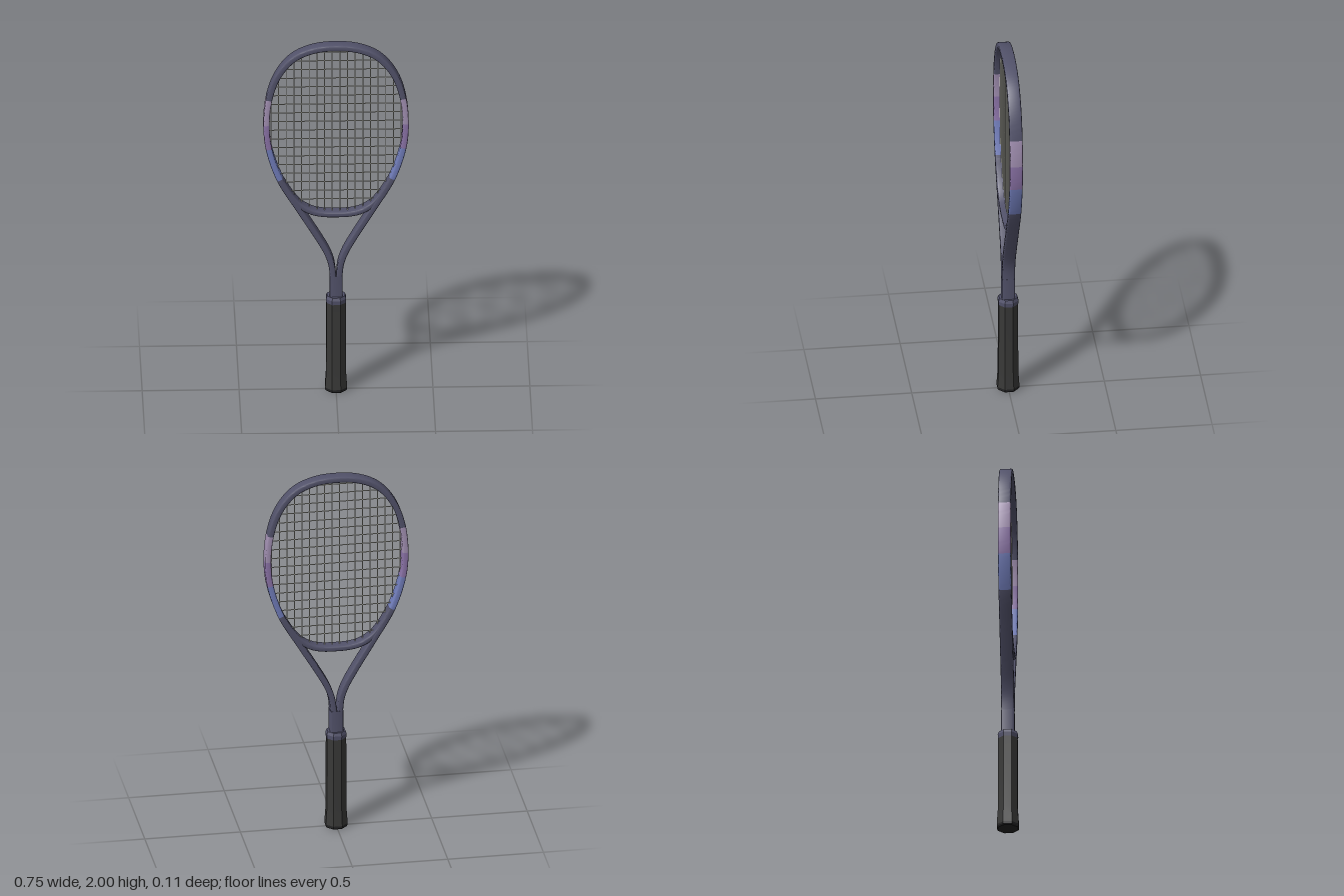
import * as THREE from 'three';
import { toCreasedNormals } from 'three/addons/utils/BufferGeometryUtils.js';

const material = (name, color) => {
  const m = new THREE.MeshStandardMaterial({ color });
  m.name = name;
  return m;
};

// Rounded rectangle used as the tube cross-section, counter-clockwise
function section(w, d, r) {
  const points = [];
  [[1, 1], [-1, 1], [-1, -1], [1, -1]].forEach(([sx, sz], corner) => {
    for (let k = 0; k <= 3; k++) {
      const a = (corner + k / 3) * Math.PI / 2;
      points.push([sx * (w - r) + r * Math.cos(a), sz * (d - r) + r * Math.sin(a)]);
    }
  });
  return points;
}

// Sweep the cross-section along part of a curve lying in the xy plane
function sweep(curve, u0, u1, steps, profile) {
  const pos = [], index = [], n = profile.length;
  for (let i = 0; i <= steps; i++) {
    const u = u0 + (u1 - u0) * i / steps;
    const p = curve.getPointAt(u), t = curve.getTangentAt(u);
    for (const [a, z] of profile) pos.push(p.x + t.y * a, p.y - t.x * a, z);
  }
  for (let i = 0; i < steps; i++) {
    for (let j = 0; j < n; j++) {
      const a = i * n + j, b = i * n + (j + 1) % n;
      index.push(a, a + n, b, b, a + n, b + n);
    }
  }
  const g = new THREE.BufferGeometry();
  g.setAttribute('position', new THREE.Float32BufferAttribute(pos, 3));
  g.setIndex(index);
  return toCreasedNormals(g, 0.7);
}

// Smooth curve mirrored about x = 0; the list runs from the centre outwards
function mirroredCurve(half) {
  const right = half.map(([x, y]) => new THREE.Vector3(x, y, 0));
  const left = half.slice(1).reverse().map(([x, y]) => new THREE.Vector3(-x, y, 0));
  const curve = new THREE.CatmullRomCurve3([...left, ...right], false, 'centripetal');
  curve.arcLengthDivisions = 600;
  return curve;
}

// Position on the right half of the curve at a given height
function atHeight(curve, y) {
  let lo = 0.5, hi = 1;
  for (let i = 0; i < 30; i++) {
    const mid = (lo + hi) / 2;
    if (curve.getPointAt(mid).y > y) lo = mid; else hi = mid;
  }
  return lo;
}

export function createModel() {
  const racket = new THREE.Group();
  racket.name = 'racket';
  const frameMat = material('slate frame', 0x52526a);
  const paleMat = material('pale mauve', 0xa18fb1);
  const purpleMat = material('purple', 0x8a72a6);
  const blueMat = material('blue', 0x6f7bb8);
  const gripMat = material('charcoal grip', 0x383837);
  const capMat = material('black cap', 0x222223);
  const stringMat = material('off-white string', 0xdcdcd0);

  const add = (name, geometry, mat, parent = racket) => {
    const mesh = new THREE.Mesh(geometry, mat);
    mesh.name = name;
    parent.add(mesh);
    return mesh;
  };

  // Head rim and throat arms, split into colour bands by height
  const rim = mirroredCurve([
    [0, 1.984], [0.1, 1.975], [0.19, 1.942], [0.25, 1.894], [0.307, 1.809], [0.345, 1.69],
    [0.359, 1.54], [0.346, 1.4], [0.29, 1.225], [0.19, 1.05], [0.095, 0.89],
    [0.047, 0.8], [0.025, 0.735], [0.017, 0.665], [0.017, 0.6],
  ]);
  const tube = section(0.016, 0.0335, 0.008);
  const [uPale, uPurple, uBlue, uArm] = [1.687, 1.542, 1.403, 1.225].map(y => atHeight(rim, y));
  add('headTop', sweep(rim, 1 - uPale, uPale, 64, tube), frameMat);
  const bands = [
    ['paleBand', uPale, uPurple, 10, paleMat],
    ['purpleBand', uPurple, uBlue, 10, purpleMat],
    ['blueBand', uBlue, uArm, 12, blueMat],
    ['throatArm', uArm, 1, 40, frameMat],
  ];
  for (const [name, a, b, steps, mat] of bands) {
    add(name + 'Left', sweep(rim, a, b, steps, tube), mat);
    add(name + 'Right', sweep(rim, 1 - b, 1 - a, steps, tube), mat);
  }

  // Bridge closing the bottom of the head, ending inside the arms
  const bridge = mirroredCurve([
    [0, 1.02], [0.07, 1.023], [0.13, 1.038], [0.19, 1.077], [0.24, 1.14], [0.28, 1.21],
  ]);
  add('bridge', sweep(bridge, 0, 1, 48, section(0.0145, 0.0325, 0.008)), frameMat);

  // Shaft
  const shape = new THREE.Shape(section(0.034, 0.034, 0.008).map(p => new THREE.Vector2(...p)));
  const shaft = new THREE.ExtrudeGeometry(shape, { depth: 0.155, bevelEnabled: false });
  shaft.rotateX(-Math.PI / 2);
  add('shaft', toCreasedNormals(shaft, 0.7), frameMat).position.y = 0.51;

  // Octagonal handle parts; radii are measured to the flats
  const octagon = profile => toCreasedNormals(new THREE.LatheGeometry(
    profile.map(([r, y]) => new THREE.Vector2(r / Math.cos(Math.PI / 8), y)),
    8, Math.PI / 8), 0.1);
  add('buttCap', octagon([[0, 0], [0.052, 0], [0.0565, 0.008], [0.0565, 0.018]]), capMat);
  add('grip', octagon([[0.0565, 0.018], [0.0555, 0.04], [0.051, 0.11], [0.05, 0.51], [0, 0.51]]), gripMat);
  add('collar', octagon([[0.0505, 0.508], [0.052, 0.53], [0.046, 0.546], [0, 0.546]]), frameMat);

  // Closed outline of the head, used to trim the strings
  const outline = [];
  const uJoin = atHeight(rim, 1.21);
  for (let i = 0; i <= 200; i++) outline.push(rim.getPointAt(1 - uJoin + (2 * uJoin - 1) * i / 200));
  for (let i = 0; i <= 100; i++) outline.push(bridge.getPointAt(1 - i / 100));
  const span = (axis, other, value) => {
    const hits = [];
    outline.forEach((p, i) => {
      const q = outline[(i + 1) % outline.length];
      if ((p[axis] > value) !== (q[axis] > value)) {
        hits.push(p[other] + (q[other] - p[other]) * (value - p[axis]) / (q[axis] - p[axis]));
      }
    });
    return [Math.min(...hits), Math.max(...hits)];
  };

  // String bed
  const strings = new THREE.Group();
  strings.name = 'strings';
  racket.add(strings);
  const radius = 0.0026;
  for (let i = 0; i < 18; i++) {
    const x = (i - 8.5) * 0.0395;
    const [lo, hi] = span('x', 'y', x);
    add('mainString', new THREE.CylinderGeometry(radius, radius, hi - lo, 6), stringMat, strings)
      .position.set(x, (lo + hi) / 2, 0.002);
  }
  for (let i = 0; i < 18; i++) {
    const y = 1.1 + i * 0.05;
    const [lo, hi] = span('y', 'x', y);
    const cross = add('crossString', new THREE.CylinderGeometry(radius, radius, hi - lo, 6), stringMat, strings);
    cross.rotation.z = Math.PI / 2;
    cross.position.set((lo + hi) / 2, y, -0.002);
  }
  return racket;
}
